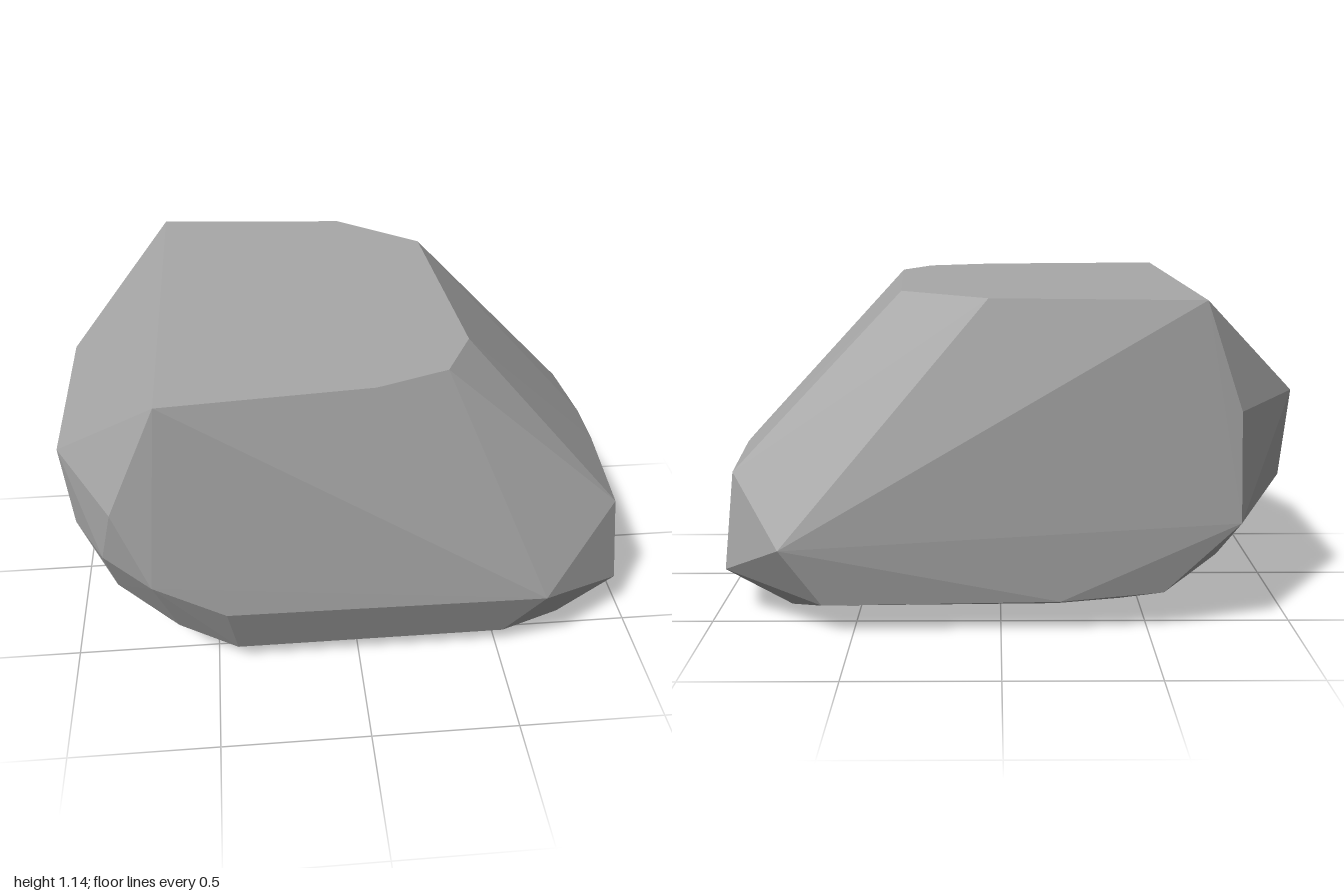
import * as THREE from 'three';
import { ConvexGeometry } from 'three/addons/geometries/ConvexGeometry.js';

// Corner rings of the boulder, from the flat top down to the base
const TOP_Y = 1.14;
const topRim = [
  [-0.64, -0.73], [-0.64, 0.72], [0.04, 0.66], [0.28, 0.57],
  [0.38, 0.37], [0.33, -0.44], [0.04, -0.67],
].map(([x, z]) => [x, TOP_Y, z]);

const shoulder = [
  [-1, 0.79, -0.36], [-1, 0.79, 0.37], [-0.81, 0.74, 0.70], [-0.77, 0.78, -0.69],
  [0.92, 0.52, 0.47], [0.93, 0.55, 0.10], [0.93, 0.55, -0.10], [0.92, 0.52, -0.44],
];

const waist = [
  [-0.97, 0.49, 0.37], [-0.97, 0.49, -0.36], [-0.86, 0.51, 0.61], [-0.70, 0.45, 0.715],
  [-0.46, 0.31, 0.71], [0.64, 0.29, 0.70], [0.73, 0.32, -0.70], [-0.79, 0.40, -0.66],
];

const skirt = [
  [0.96, 0.17, 0.46], [1, 0.16, 0.13], [1, 0.16, -0.13], [0.96, 0.17, -0.44],
  [0.60, 0.11, -0.64], [-0.20, 0.12, -0.635], [-0.55, 0.14, -0.60], [-0.77, 0.19, -0.34],
  [-0.84, 0.28, 0.47], [-0.63, 0.18, 0.59], [-0.43, 0.07, 0.60], [0.52, 0.07, 0.60],
];

const base = [
  [0.75, 0.04, 0.48], [0.75, 0, 0.15], [0.75, 0, -0.33], [-0.20, 0, -0.33],
  [-0.43, 0.02, -0.33], [-0.70, 0.12, 0.40], [-0.20, 0, 0.37],
];

export function createModel() {
  const group = new THREE.Group();
  group.name = 'boulder';

  const stone = new THREE.MeshStandardMaterial({ color: 0xa8a8a8 });
  stone.name = 'stone grey';

  // Faceted stone: the hull of the rings, with flat face normals
  const corners = [topRim, shoulder, waist, skirt, base].flat()
    .map((p) => new THREE.Vector3(...p));
  const rock = new THREE.Mesh(new ConvexGeometry(corners), stone);
  rock.name = 'rock';
  group.add(rock);

  return group;
}
